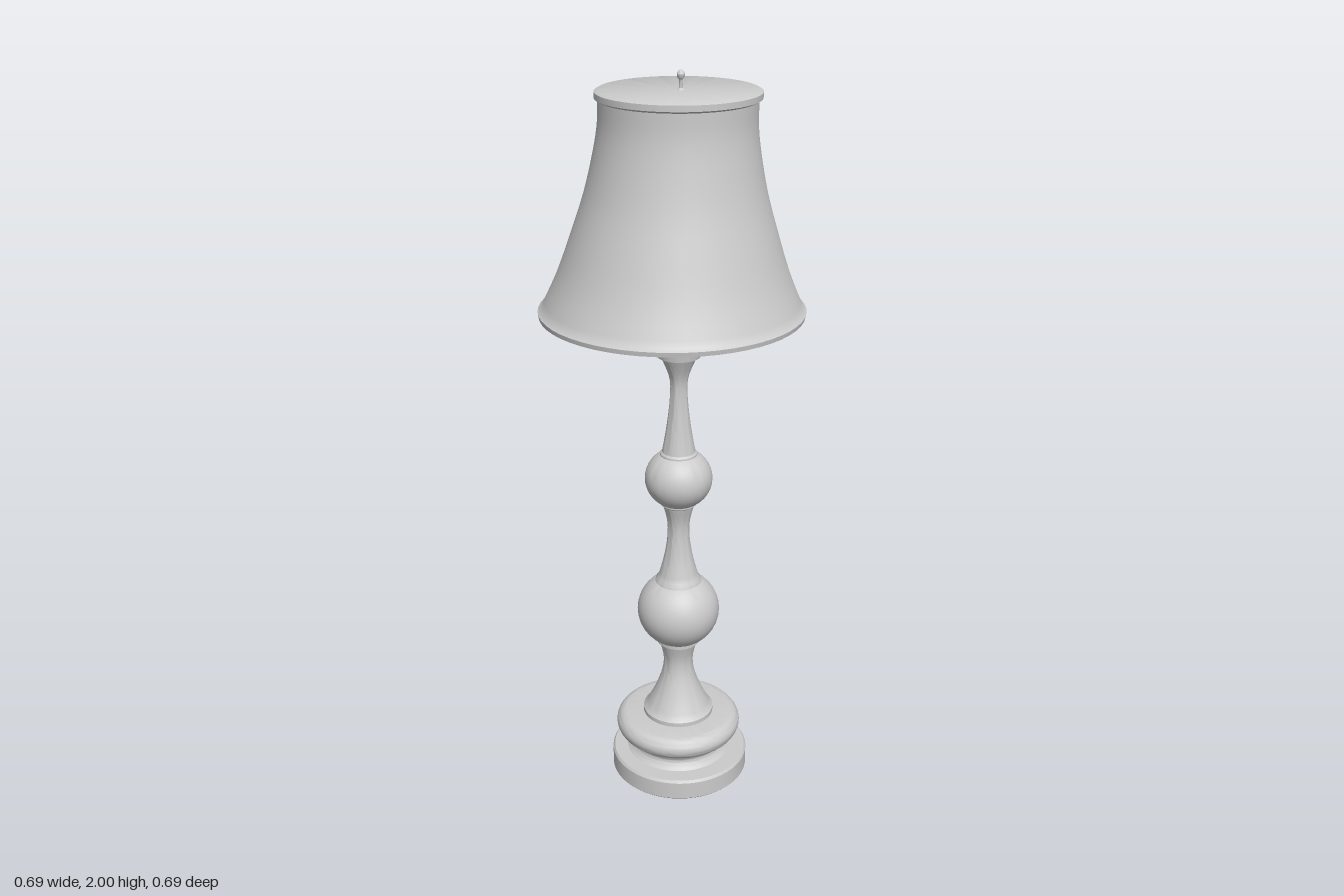
import * as THREE from 'three';
import { toCreasedNormals } from 'three/addons/utils/BufferGeometryUtils.js';

const material = new THREE.MeshStandardMaterial({ color: 0xcccccc });

// Smooth run through a few [radius, height] points
function curve(points, n = 14) {
  return new THREE.SplineCurve(points.map(([r, y]) => new THREE.Vector2(r, y))).getPoints(n);
}

// Outline of a ball cut off at the given angles from its equator
function ball(radius, cy, from, to, squash = 1, cx = 0) {
  const pts = [];
  for (let i = 0; i <= 14; i++) {
    const a = from + ((to - from) * i) / 14;
    pts.push(new THREE.Vector2(cx + radius * Math.cos(a), cy + radius * squash * Math.sin(a)));
  }
  return pts;
}

const line = (...points) => points.map(([r, y]) => new THREE.Vector2(r, y));

function turned(name, profile, x = 0.02, z = -0.006) {
  const mesh = new THREE.Mesh(toCreasedNormals(new THREE.LatheGeometry(profile, 56), 0.6), material);
  mesh.name = name;
  mesh.position.set(x, 0, z);
  return mesh;
}

export function createModel() {
  const lamp = new THREE.Group();
  lamp.name = 'tableLamp';

  // Base: flat disc, waisted step and rounded ring
  lamp.add(turned('baseDisc', line([0, 0], [0.19, 0], [0.195, 0.005], [0.195, 0.055], [0.19, 0.062], [0, 0.062]), 0.024, -0.008));
  lamp.add(turned('baseWaist', curve([[0.15, 0.06], [0.135, 0.075], [0.132, 0.09], [0.145, 0.108], [0.16, 0.122]])));
  lamp.add(turned('baseRing', [
    ...line([0.11, 0.112]),
    ...ball(0.033, 0.146, -Math.PI / 2, Math.PI / 2, 1, 0.145),
    ...line([0.08, 0.18]),
  ]));

  // Turned column
  lamp.add(turned('lowerNeck', [
    ...line([0.1, 0.175], [0.1, 0.192]),
    ...curve([[0.092, 0.2], [0.067, 0.25], [0.046, 0.31], [0.042, 0.36], [0.053, 0.408]]),
    ...line([0.06, 0.412], [0.06, 0.43]),
  ]));
  lamp.add(turned('largeBall', ball(0.115, 0.515, -1.1, 1.1, 0.95)));
  lamp.add(turned('middleNeck', [
    ...line([0.066, 0.595], [0.063, 0.612]),
    ...curve([[0.056, 0.62], [0.04, 0.68], [0.031, 0.74], [0.031, 0.79], [0.043, 0.84]]),
    ...line([0.05, 0.845], [0.05, 0.86]),
  ]));
  lamp.add(turned('smallBall', ball(0.092, 0.92, -1.05, 1.05, 0.92)));
  lamp.add(turned('upperNeck', [
    ...line([0.051, 0.98], [0.05, 0.995]),
    ...curve([[0.045, 1.0], [0.033, 1.07], [0.024, 1.15], [0.025, 1.21], [0.047, 1.268]]),
  ]));
  lamp.add(turned('capital', [
    ...line([0.047, 1.268], [0.058, 1.272], [0.062, 1.3], [0.072, 1.305]),
    ...curve([[0.072, 1.305], [0.08, 1.325], [0.09, 1.338], [0.09, 1.368], [0.078, 1.388]]),
    ...line([0, 1.388]),
  ]));

  // Socket and rod hidden inside the shade
  lamp.add(turned('socket', line([0.033, 1.38], [0.033, 1.55], [0.008, 1.56], [0.008, 1.945])));

  // Bell shade with lip, rim and closed top, sheared slightly off centre
  const bell = (inset) =>
    curve([[0.338, 1.405], [0.298, 1.495], [0.262, 1.6], [0.231, 1.7], [0.209, 1.8], [0.199, 1.87], [0.198, 1.93]]
      .map(([r, y]) => [r - inset, y]), 24);
  const shade = new THREE.Group();
  shade.name = 'shade';
  shade.add(turned('shadeOuter', [
    ...line([0.33, 1.388], [0.345, 1.386], [0.347, 1.398]),
    ...bell(0),
    ...line([0.207, 1.935], [0.207, 1.95], [0.2, 1.954], [0, 1.952]),
  ], 0, 0));
  shade.add(turned('shadeInner', [
    ...line([0, 1.935], [0.19, 1.93]),
    ...bell(0.008).reverse(),
    ...line([0.33, 1.388]),
  ], 0, 0));
  for (const part of shade.children) {
    const p = part.geometry.attributes.position;
    for (let i = 0; i < p.count; i++) {
      const t = (p.getY(i) - 1.386) / 0.566;
      p.setX(i, p.getX(i) - 0.002 + 0.012 * t);
      p.setZ(i, p.getZ(i) - 0.012 * t);
    }
  }
  lamp.add(shade);

  // Finial: thin stem with a small knob
  lamp.add(turned('finial', [
    ...line([0.012, 1.95], [0.005, 1.957], [0.004, 1.975]),
    ...ball(0.01, 1.988, -1.1, Math.PI / 2, 1.2),
  ], 0.013, -0.016));

  return lamp;
}
